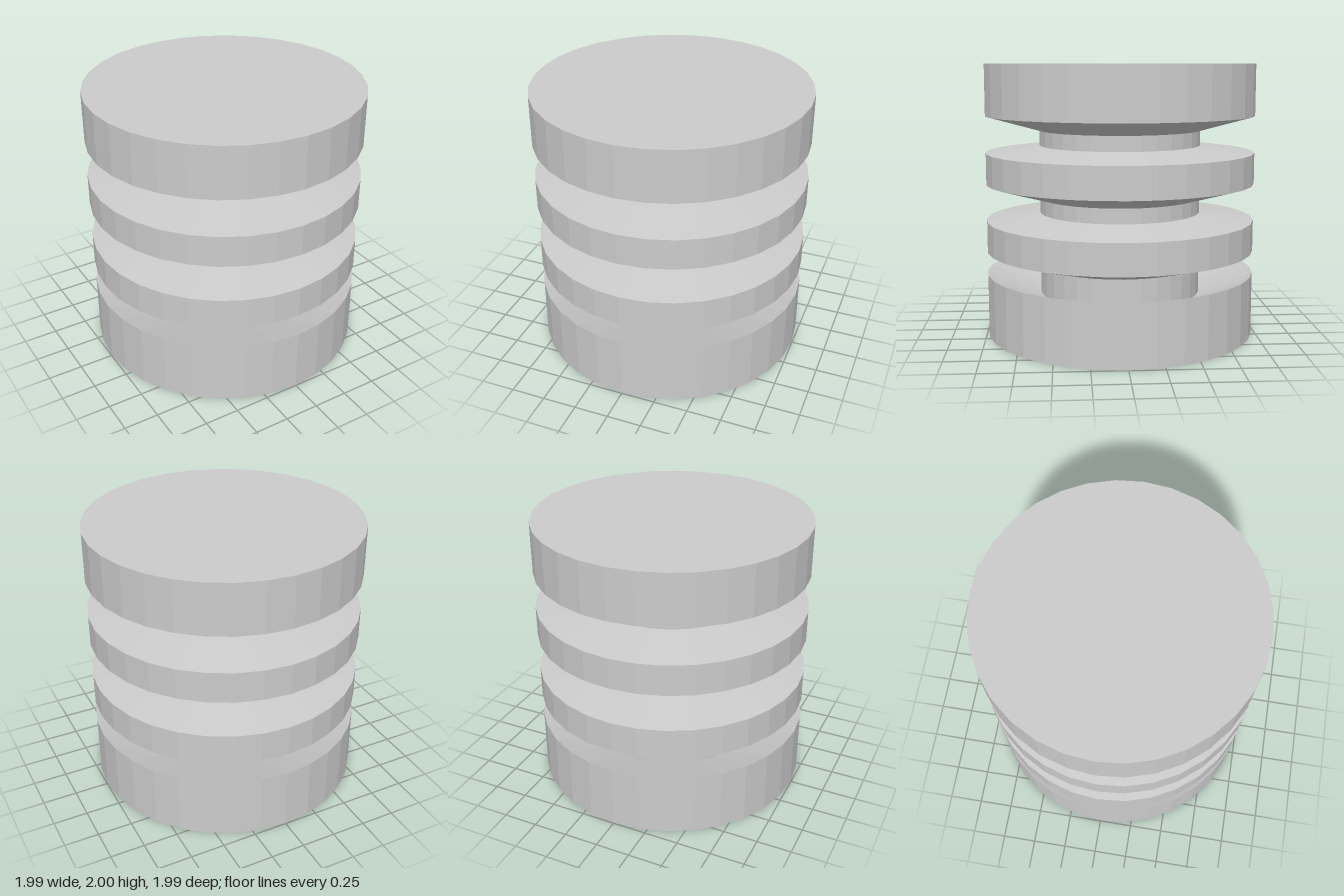
import * as THREE from 'three';

const SIDES = 32;
const R = 0.995; // outer radius
const NECK = 0.596; // radius of the core between discs

const material = new THREE.MeshStandardMaterial({ color: 0xcccccc, flatShading: true });

// Turned part from a bottom-to-top list of [radius, height]
function turned(name, profile) {
  const points = profile.map(([r, y]) => new THREE.Vector2(r, y));
  const mesh = new THREE.Mesh(new THREE.LatheGeometry(points, SIDES), material);
  mesh.name = name;
  return mesh;
}

export function createModel() {
  const group = new THREE.Group();
  group.name = 'ribbedCylinder';

  // Base drum with a dished top sloping down to the core
  group.add(turned('base', [[0, 0], [R, 0], [R, 0.46], [NECK, 0.3]]));

  // Two ribs: steep underside, straight rim, shallow upper slope
  for (const [i, y] of [0.515, 1.015].entries()) {
    group.add(turned(`rib${i + 1}`, [[NECK, y], [R, y + 0.113], [R, y + 0.34], [NECK, y + 0.39]]));
  }

  // Top drum with a sloped underside and flat lid
  group.add(turned('topDrum', [[NECK, 1.515], [R, 1.625], [R, 2], [0, 2]]));

  // Core sections showing between the drums and ribs
  for (const [i, [low, high]] of [[0.3, 0.515], [0.905, 1.015], [1.405, 1.515]].entries()) {
    group.add(turned(`neck${i + 1}`, [[NECK, low], [NECK, high]]));
  }
  return group;
}
